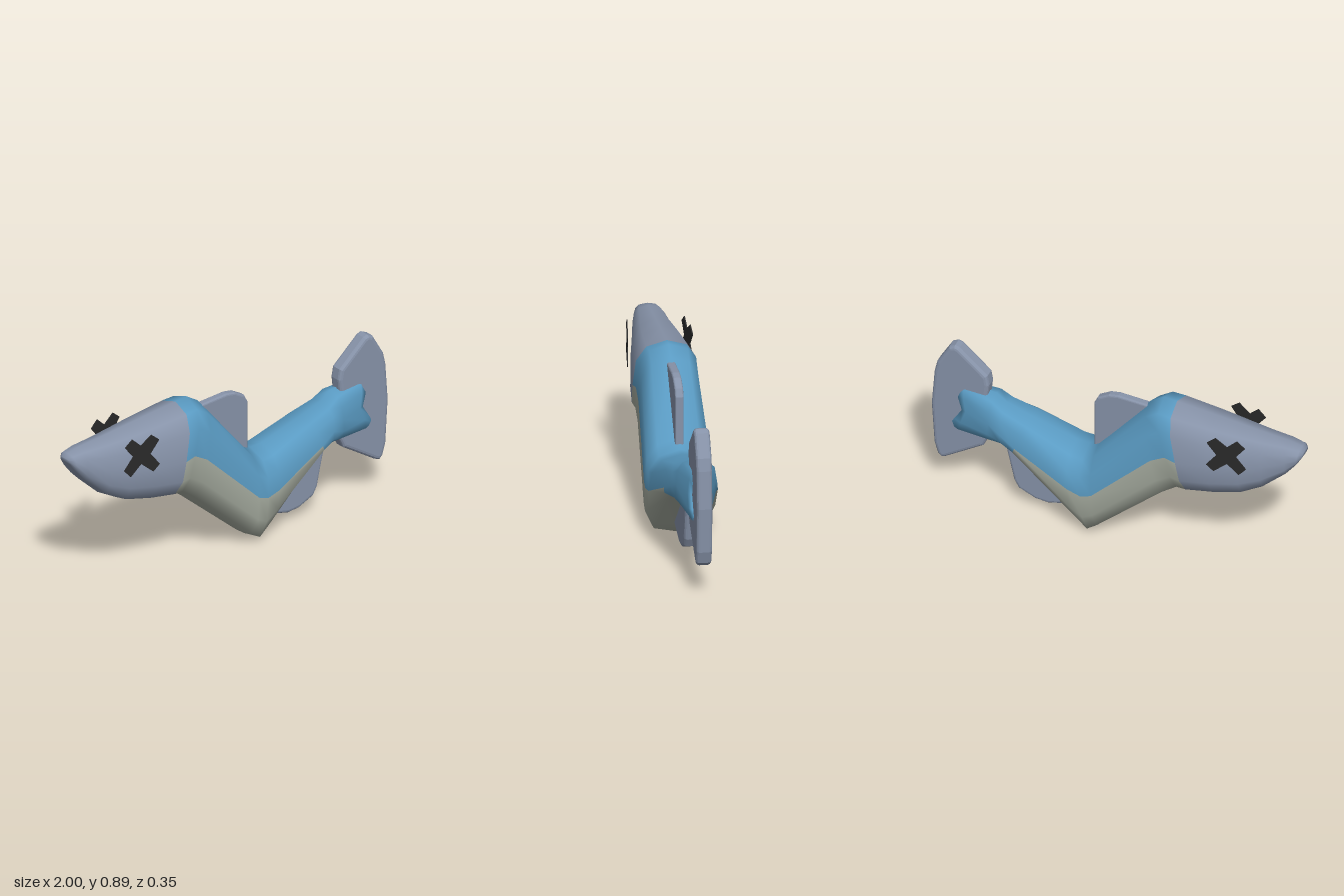
import * as THREE from 'three';

const material = (name, color) => {
  const m = new THREE.MeshStandardMaterial({ color });
  m.name = name;
  return m;
};

// Body cross-sections: top x, top y, bottom x, bottom y, half width, belly line fraction, notch
const SECTIONS = [
  [-1.0, 0.745, -0.998, 0.722, 0.042, 0.5, 0],
  [-0.985, 0.768, -0.97, 0.675, 0.065, 0.5, 0],
  [-0.92, 0.784, -0.92, 0.61, 0.083, 0.5, 0],
  [-0.8, 0.797, -0.8, 0.5, 0.105, 0.5, 0],
  [-0.68, 0.812, -0.69, 0.44, 0.127, 0.5, 0],
  [-0.52, 0.832, -0.55, 0.41, 0.15, 0.52, 0],
  [-0.31, 0.857, -0.41, 0.39, 0.165, 0.55, 0],
  [-0.24, 0.865, -0.36, 0.387, 0.157, 0.53, 0],
  [-0.17, 0.822, -0.28, 0.33, 0.155, 0.515, 0],
  [0.1, 0.5, 0.07, 0.035, 0.174, 0.49, 0],
  [0.16, 0.465, 0.12, 0.0, 0.175, 0.45, 0],
  [0.23, 0.47, 0.2, 0.07, 0.168, 0.49, 0],
  [0.47, 0.545, 0.53, 0.37, 0.135, 0.72, 0],
  [0.6, 0.59, 0.6, 0.38, 0.115, 0.6, 0],
  [0.66, 0.635, 0.68, 0.375, 0.1, 0.5, 0],
  [0.83, 0.662, 0.86, 0.365, 0.06, 0.5, -0.04],
  [0.87, 0.635, 0.91, 0.385, 0.046, 0.5, -0.06],
];
const RING = 12;
const HEAD_END = 6, BELLY_END = 12;

function bodyGeometry() {
  const pos = [], parts = [[], [], []]; // head, back, belly
  for (const [tx, ty, bx, by, w, f, notch] of SECTIONS) {
    const half = [[0, 0], [0.07, 0.62], [0.24, 0.92], [f, 1], [(1 + f) / 2, 1], [0.94, 0.74], [1, 0]];
    for (let j = 0; j < RING; j++) {
      const [v, s] = half[j <= 6 ? j : RING - j];
      const dent = notch * (1 - Math.abs(2 * v - 1));
      pos.push(tx + (bx - tx) * v + dent, ty + (by - ty) * v, (j <= 6 ? 1 : -1) * s * w);
    }
  }
  const last = SECTIONS.length - 1;
  for (let i = 0; i < last; i++) {
    for (let j = 0; j < RING; j++) {
      const a = i * RING + j, b = i * RING + (j + 1) % RING;
      const belly = j >= 3 && j <= 8 && i < BELLY_END;
      parts[i < HEAD_END ? 0 : belly ? 2 : 1].push(a, b, b + RING, a, b + RING, a + RING);
    }
  }
  // Close the snout and the notched tail end
  for (let k = 0; k < 6; k++) {
    const q = [k, k + 1, RING - k - 1, (RING - k) % RING];
    const t = q.map((n) => n + last * RING);
    if (k < 5) {
      parts[0].push(q[0], q[2], q[1]);
      parts[1].push(t[0], t[1], t[2]);
    }
    if (k > 0) {
      parts[0].push(q[0], q[3], q[2]);
      parts[1].push(t[0], t[2], t[3]);
    }
  }
  const g = new THREE.BufferGeometry();
  g.setAttribute('position', new THREE.Float32BufferAttribute(pos, 3));
  g.setIndex(parts.flat());
  let start = 0;
  parts.forEach((p, n) => {
    g.addGroup(start, p.length, n);
    start += p.length;
  });
  g.computeVertexNormals();
  return g;
}

const outline = (points) => new THREE.Shape(points.map(([x, y]) => new THREE.Vector2(x, y)));

// Flat fin with bevelled rim, centred on z = 0
function fin(name, points, halfThick, bevel, mat) {
  const edge = halfThick * 0.45;
  const g = new THREE.ExtrudeGeometry(outline(points), {
    depth: 2 * (halfThick - edge), bevelEnabled: true, bevelThickness: edge,
    bevelSize: bevel, bevelOffset: -bevel, bevelSegments: 3,
  });
  g.translate(0, 0, edge - halfThick);
  const mesh = new THREE.Mesh(g, mat);
  mesh.name = name;
  return mesh;
}

export function createModel() {
  const grey = material('slate grey', 0x8793a9);
  const blue = material('fish blue', 0x5a9bc3);
  const cream = material('belly grey', 0xa3a99d);
  const black = material('eye black', 0x2a2a2a);
  const model = new THREE.Group();
  model.name = 'fish';

  const body = new THREE.Mesh(bodyGeometry(), [grey, blue, cream]);
  body.name = 'body';
  model.add(body);

  model.add(
    fin('dorsalFin', [[-0.18, 0.8], [-0.1, 0.6], [0.06, 0.42], [0.13, 0.44], [0.13, 0.735],
      [0.11, 0.775], [0.05, 0.808], [0, 0.815]], 0.022, 0.012, grey),
    fin('analFin', [[0.2, 0.09], [0.37, 0.05], [0.44, 0.058], [0.53, 0.1], [0.555, 0.145],
      [0.61, 0.4], [0.4, 0.32]], 0.04, 0.018, grey),
    fin('tailFin', [[0.69, 0.69], [0.71, 0.5], [0.695, 0.365], [0.72, 0.31], [0.92, 0.185],
      [0.945, 0.175], [0.965, 0.195], [0.985, 0.26], [1, 0.5], [0.985, 0.7], [0.97, 0.765],
      [0.905, 0.875], [0.875, 0.888], [0.85, 0.88], [0.7, 0.745]], 0.04, 0.02, grey),
  );

  // Cross-shaped eyes, thin plates following the slant of the cheeks
  const cross = outline([[-0.092, 0.065], [-0.05, 0.103], [0, 0.057], [0.06, 0.103], [0.104, 0.067],
    [0.054, 0], [0.108, -0.068], [0.07, -0.102], [0, -0.044], [-0.06, -0.102], [-0.097, -0.062], [-0.045, 0.006]]);
  const eyeGeometry = new THREE.ExtrudeGeometry(cross, { depth: 0.006, bevelEnabled: false });
  eyeGeometry.rotateY(-0.125);
  eyeGeometry.translate(-0.64, 0.71, 0.148);
  for (const side of [1, -1]) {
    const eye = new THREE.Mesh(eyeGeometry, black);
    eye.name = side > 0 ? 'frontEye' : 'backEye';
    eye.scale.z = side;
    model.add(eye);
  }
  return model;
}
